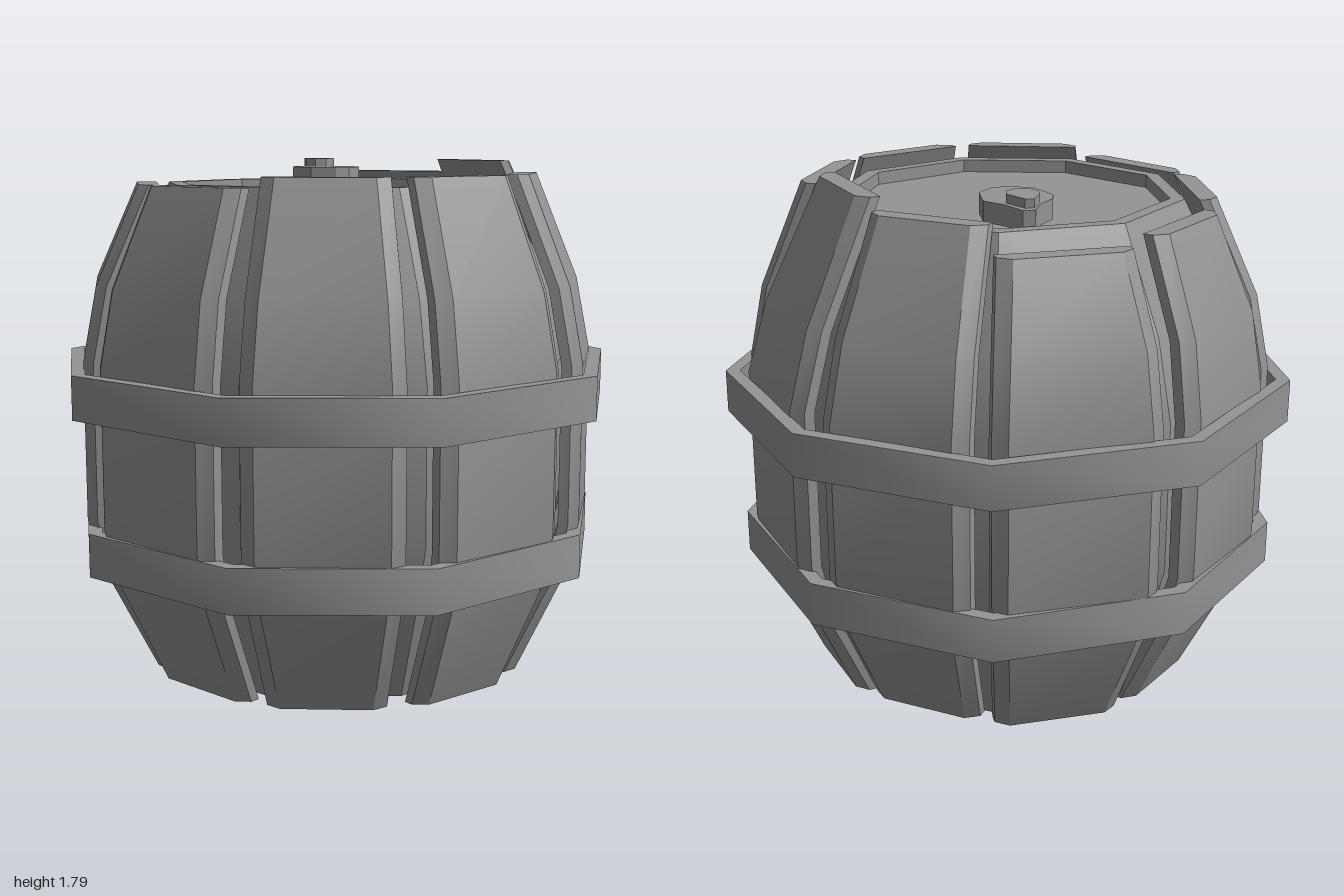
import * as THREE from 'three';
import { toCreasedNormals } from 'three/addons/utils/BufferGeometryUtils.js';

const SIDES = 9;
const CENTRE_X = -0.03;
const material = new THREE.MeshStandardMaterial({ color: 0x949494 });

function part(name, geometry, crease) {
  const mesh = new THREE.Mesh(toCreasedNormals(geometry, crease), material);
  mesh.name = name;
  return mesh;
}

// Nine-sided turned solid with a corner on +x; profile runs [radius, y]
function turned(name, profile, crease) {
  const points = profile.map(([r, y]) => new THREE.Vector2(r, y));
  return part(name, new THREE.LatheGeometry(points, SIDES, Math.PI / 2), crease);
}

// Nine-sided bottom, shaded softly into the sides of the cask
function caskBottom(radius, y) {
  const corners = Array.from({ length: SIDES }, (_, i) => {
    const a = (i / SIDES) * Math.PI * 2;
    return new THREE.Vector2(Math.cos(a) * radius, Math.sin(a) * radius);
  });
  const geometry = new THREE.ShapeGeometry(new THREE.Shape(corners));
  geometry.rotateX(Math.PI / 2).translate(0, y, 0);
  const { position, normal } = geometry.attributes;
  const v = new THREE.Vector3();
  for (let i = 0; i < position.count; i++) {
    v.fromBufferAttribute(position, i).setY(-0.4).normalize();
    normal.setXYZ(i, v.x, v.y, v.z);
  }
  const mesh = new THREE.Mesh(geometry, material);
  mesh.name = 'caskBottom';
  return mesh;
}

// Bowed plank with chamfered outer edges, lofted upward through its levels
function staveGeometry({ half, base, top, lean, kick }) {
  // [height, distance from axis, half width]
  const levels = [
    [base, 0.685 + kick, half * 0.77],
    [0.36, 0.85 + kick * 0.5, half * 0.94],
    [0.56, 0.9, half],
    [1.11, 0.9, half],
    [1.37, 0.85 + lean * 0.35, half * 0.94],
    [top, 0.7 + lean, half * 0.79],
  ];
  const positions = [], index = [], n = 6;
  for (const [y, r, w] of levels) {
    const section = [
      [-w, r - 0.07], [-w, r - 0.035], [-w + 0.045, r],
      [w - 0.045, r], [w, r - 0.035], [w, r - 0.07],
    ];
    for (const [x, z] of section) positions.push(x, y, z);
  }
  for (let j = 0; j < levels.length - 1; j++) {
    for (let i = 0; i < n; i++) {
      const a = j * n + i, b = j * n + (i + 1) % n;
      index.push(a, b, b + n, a, b + n, a + n);
    }
  }
  const last = (levels.length - 1) * n;
  for (let i = 1; i < n - 1; i++) {
    index.push(0, i + 1, i, last, last + i, last + i + 1);
  }
  const geometry = new THREE.BufferGeometry();
  geometry.setAttribute('position', new THREE.Float32BufferAttribute(positions, 3));
  geometry.setIndex(index);
  return geometry;
}

// Flat plate from an [x, z] outline, standing between two heights
function plate(name, outline, y0, y1) {
  const shape = new THREE.Shape(outline.map(([x, z]) => new THREE.Vector2(x, -z)));
  const geometry = new THREE.ExtrudeGeometry(shape, { depth: y1 - y0, bevelEnabled: false });
  geometry.rotateX(-Math.PI / 2).translate(0, y0, 0);
  return part(name, geometry, 0.3);
}

export function createModel() {
  const model = new THREE.Group();
  model.name = 'barrel';

  const body = new THREE.Group();
  body.name = 'body';
  body.position.x = CENTRE_X;
  model.add(body);

  // Inner cask with a rim around the sunken lid
  body.add(turned('cask', [
    [0.66, 0.02], [0.79, 0.36], [0.86, 0.58], [0.86, 1.1],
    [0.79, 1.37], [0.615, 1.71], [0.565, 1.71], [0.565, 1.665], [0, 1.665],
  ], 0.5));
  body.add(caskBottom(0.66, 0.02));

  // Uneven staves: angle from +x towards +z, half width, heights of both ends,
  // lean of the top end and kick of the bottom end
  const staves = [
    [-18.8, 0.27, 0, 1.785, -0.07, 0],
    [-58.5, 0.26, 0.03, 1.74, -0.06, 0.02],
    [-97.5, 0.28, 0, 1.66, 0.03, 0],
    [-138, 0.26, 0, 1.69, 0.03, -0.02],
    [-178.5, 0.27, 0, 1.71, 0, -0.02],
    [142, 0.275, 0, 1.71, 0.01, 0],
    [102, 0.26, 0, 1.745, 0, 0.01],
    [61.5, 0.26, 0, 1.745, 0, 0.02],
    [21, 0.27, 0, 1.745, 0, 0],
  ];
  for (const [angle, half, base, top, lean, kick] of staves) {
    const stave = part('stave', staveGeometry({ half, base, top, lean, kick }), 0.5);
    stave.rotation.y = THREE.MathUtils.degToRad(90 - angle);
    body.add(stave);
  }

  // Two hoops
  for (const [name, radius, y0] of [['upperHoop', 1.008, 0.937], ['lowerHoop', 0.962, 0.39]]) {
    const inner = radius - 0.05, y1 = y0 + 0.152;
    body.add(turned(name, [
      [inner, y0], [radius, y0], [radius, y1], [inner, y1], [inner, y0],
    ], 0.75));
  }

  // Drop-shaped bung plate and its small knob on the lid
  model.add(plate('bungPlate', [
    [-0.05, -0.53], [-0.01, -0.53], [0.04, -0.44], [0.1, -0.38], [0.1, -0.25],
    [0.05, -0.18], [0, -0.165], [-0.09, -0.19], [-0.14, -0.31], [-0.13, -0.37], [-0.08, -0.44],
  ], 1.69, 1.76));
  model.add(plate('bungKnob', [
    [-0.05, -0.5], [-0.02, -0.5], [0.03, -0.42], [0.025, -0.37],
    [-0.01, -0.34], [-0.05, -0.34], [-0.08, -0.38], [-0.08, -0.42],
  ], 1.75, 1.79));

  return model;
}
